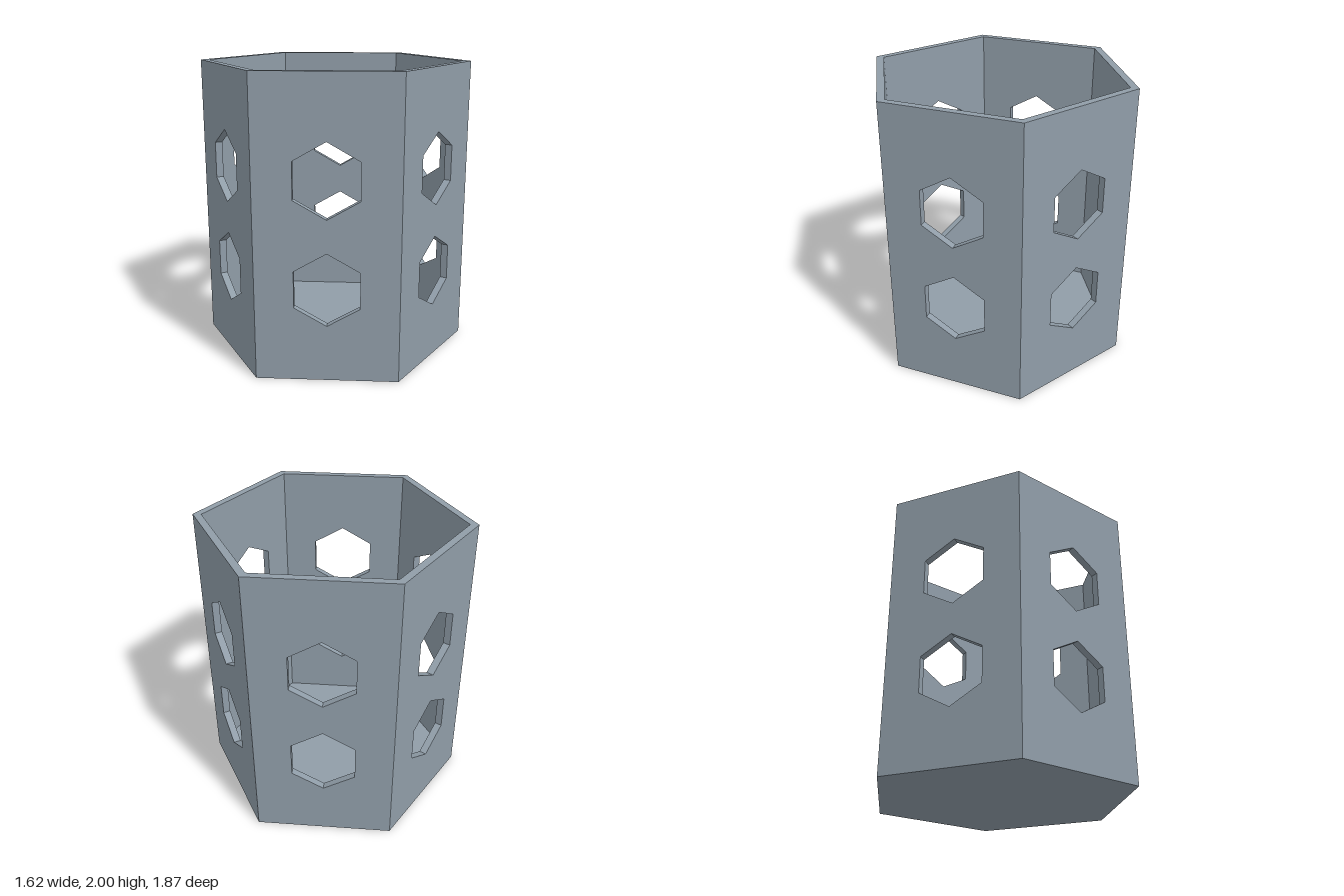
import * as THREE from 'three';

const R = 0.933;                                   // outer corner radius
const H = 2;
const WALL = 0.05;
const FLOOR = 0.065;
const APOTHEM = R * Math.cos(Math.PI / 6);
const INNER_R = (APOTHEM - WALL) / Math.cos(Math.PI / 6);
const HOLE_R = 0.245;
const HOLE_Y = [0.625, 1.335];

// One mitred wall panel with two hexagonal holes, outer face towards +z
function panelGeometry() {
  const h = R / 2;
  const shape = new THREE.Shape([
    new THREE.Vector2(-h, 0), new THREE.Vector2(h, 0),
    new THREE.Vector2(h, H), new THREE.Vector2(-h, H),
  ]);
  for (const y of HOLE_Y) {
    const pts = [];
    for (let i = 0; i < 6; i++) {
      const a = Math.PI / 2 - i * Math.PI / 3;
      pts.push(new THREE.Vector2(HOLE_R * Math.cos(a), y + HOLE_R * Math.sin(a)));
    }
    shape.holes.push(new THREE.Path(pts));
  }
  const src = new THREE.ExtrudeGeometry(shape, { depth: WALL, bevelEnabled: false }).attributes.position;

  // Drop the joint and underside faces; mitre the inner edge and start it at the floor
  const out = [];
  for (let i = 0; i < src.count; i += 3) {
    const tri = [0, 1, 2].map(k => new THREE.Vector3().fromBufferAttribute(src, i + k));
    const joint = tri.every(v => v.x > h - 1e-4) || tri.every(v => v.x < -h + 1e-4);
    const underside = tri.every(v => v.y < 1e-4);
    if (joint || underside) continue;
    for (const v of tri) {
      if (v.z < 1e-4) {
        if (Math.abs(v.x) > h - 1e-4) v.x = Math.sign(v.x) * INNER_R / 2;
        if (v.y < 1e-4) v.y = FLOOR;
      }
      out.push(v.x, v.y, v.z + APOTHEM - WALL);
    }
  }
  const geo = new THREE.BufferGeometry();
  geo.setAttribute('position', new THREE.Float32BufferAttribute(out, 3));
  geo.computeVertexNormals();
  return geo;
}

export function createModel() {
  const model = new THREE.Group();
  model.name = 'hexagonalHolder';
  const grey = new THREE.MeshStandardMaterial({ color: 0x909da8 });
  grey.name = 'blueGrey';

  // Six walls
  const panel = panelGeometry();
  for (let i = 0; i < 6; i++) {
    const wall = new THREE.Mesh(panel, grey);
    wall.name = 'wall' + (i + 1);
    wall.rotation.y = Math.PI / 2 + i * Math.PI / 3;
    model.add(wall);
  }

  // Floor and underside
  const addHex = (name, radius, y, tilt) => {
    const hex = new THREE.Mesh(new THREE.CircleGeometry(radius, 6, Math.PI / 2), grey);
    hex.name = name;
    hex.rotation.x = tilt;
    hex.position.y = y;
    model.add(hex);
  };
  addHex('floor', INNER_R, FLOOR, -Math.PI / 2);
  addHex('underside', R, 0, Math.PI / 2);

  return model;
}
